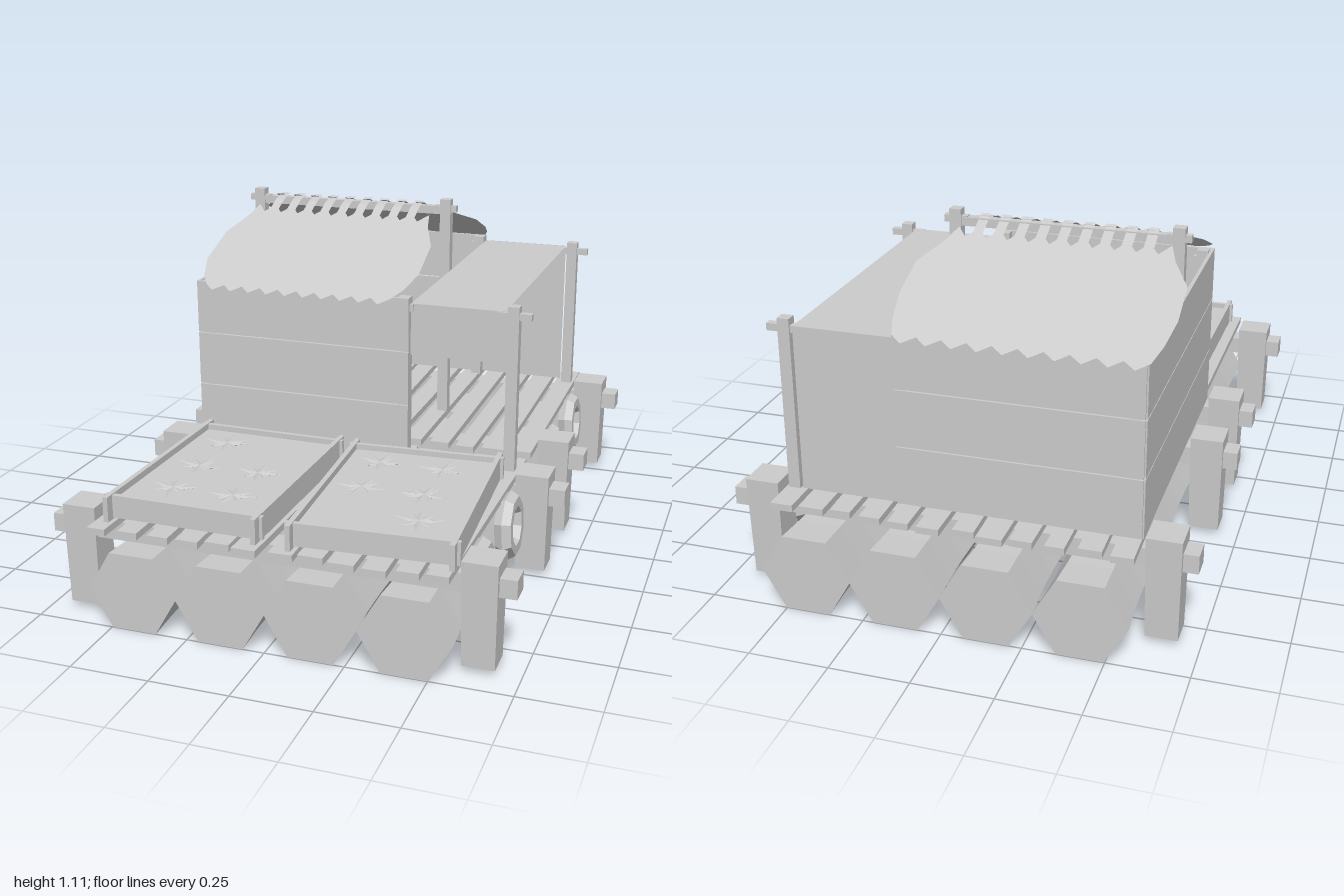
import * as THREE from 'three';
import { mergeGeometries } from 'three/addons/utils/BufferGeometryUtils.js';

const solid = new THREE.MeshStandardMaterial({ color: 0xcccccc, flatShading: true });
const thin = new THREE.MeshStandardMaterial({ color: 0xcccccc, flatShading: true, side: THREE.DoubleSide });

function add(parent, name, geometry, x = 0, y = 0, z = 0, material = solid) {
  const mesh = new THREE.Mesh(geometry, material);
  mesh.name = name;
  mesh.position.set(x, y, z);
  parent.add(mesh);
  return mesh;
}

// Box given by its limits on each axis
function block(parent, name, [x0, x1], [y0, y1], [z0, z1]) {
  return add(parent, name, new THREE.BoxGeometry(x1 - x0, y1 - y0, z1 - z0),
    (x0 + x1) / 2, (y0 + y1) / 2, (z0 + z1) / 2);
}

let seed = 7;
const jitter = (a) => {
  seed = (seed * 16807) % 2147483647;
  return (seed / 2147483647 * 2 - 1) * a;
};

// Hexagonal float with a slightly pinched waist
function floatGeometry() {
  const len = 0.46, g = new THREE.CylinderGeometry(0.143, 0.143, len, 6, 4);
  const p = g.attributes.position;
  for (let i = 0; i < p.count; i++) {
    const s = 0.94 + 0.06 * (2 * p.getY(i) / len) ** 2;
    p.setX(i, p.getX(i) * s);
    p.setZ(i, p.getZ(i) * s);
  }
  return g.rotateY(Math.PI / 6).rotateX(Math.PI / 2);
}

// Post that narrows towards its foot
function postGeometry() {
  const g = new THREE.BoxGeometry(0.108, 0.33, 0.112), p = g.attributes.position;
  for (let i = 0; i < p.count; i++) {
    if (p.getY(i) < 0) {
      p.setX(i, p.getX(i) * 0.92);
      p.setZ(i, p.getZ(i) * 0.85);
    }
  }
  return g;
}

function buildRaft(root) {
  const raft = new THREE.Group();
  raft.name = 'raft';
  root.add(raft);
  const floatGeo = floatGeometry(), postGeo = postGeometry();
  for (const x of [-0.425, -0.14, 0.145, 0.43])
    for (const z of [0.77, 0.237, -0.237, -0.77]) add(raft, 'float', floatGeo, x, 0.124, z);

  // Cross beams with an upright at each end
  for (const z of [0.87, 0.195, -0.14, -0.815]) {
    block(raft, 'crossBeam', [-0.735, 0.73], [0.247, 0.306], [z - 0.037, z + 0.037]);
    add(raft, 'sidePost', postGeo, -0.635, 0.185, z);
    add(raft, 'sidePost', postGeo, 0.625, 0.185, z);
  }

  // Loose deck planks in two lengths
  for (const zc of [0.53, -0.48])
    for (let i = 0; i < 12; i++) {
      const plank = add(raft, 'deckPlank', new THREE.BoxGeometry(0.07 + jitter(0.012), 0.022, 0.94),
        -0.525 + i * 0.0955, 0.317, zc + jitter(0.015));
      plank.rotation.y = jitter(0.02);
    }

  // Octagonal tyres hung along one side
  const tyreGeo = new THREE.TorusGeometry(0.08, 0.031, 6, 8).rotateZ(Math.PI / 8).rotateY(Math.PI / 2);
  for (const z of [0.72, 0.355, -0.297, -0.66]) {
    const tyre = add(raft, 'tyre', tyreGeo, 0.578, 0.218, z);
    tyre.rotation.z = 0.06;
  }
}

function buildCabin(root) {
  const cabin = new THREE.Group();
  cabin.name = 'cabin';
  root.add(cabin);

  // Three wide boards to each wall
  const boards = [[0.33, 0.518], [0.522, 0.703], [0.707, 0.885]];
  for (const b of boards) {
    block(cabin, 'frontWallBoard', [-0.565, 0.185], b, [0.172, 0.184]);
    block(cabin, 'backWallBoard', [-0.565, 0.185], b, [-0.846, -0.834]);
    block(cabin, 'sideWallBoard', [-0.57, -0.558], b, [-0.84, 0.18]);
  }

  // Poles with short pegs near the top
  const pole = (x, z, top, peg) => {
    block(cabin, 'pole', [x - 0.019, x + 0.019], [0.325, top], [z - 0.018, z + 0.018]);
    block(cabin, 'peg', [x - peg, x + peg], [top - 0.045, top - 0.022], [z - 0.012, z + 0.012]);
  };
  for (const z of [0.158, -0.822]) {
    pole(-0.535, z, 0.885, 0.03);
    pole(0.165, z, 0.885, 0.03);
    pole(0.53, z, 0.885, 0.058);
  }
  for (const x of [-0.548, 0.16]) pole(x, -0.345, 1.115, 0.038);
  block(cabin, 'ridgePole', [-0.55, 0.16], [1.062, 1.09], [-0.359, -0.331]);

  // Lean-to cloth: roof, short front flap and full back panel
  const cloth = new THREE.PlaneGeometry(1, 1);
  const roof = add(cabin, 'leanToRoof', cloth, 0.343, 0.864, -0.34, thin);
  roof.rotation.x = -Math.PI / 2;
  roof.scale.set(0.315, 1, 1);
  add(cabin, 'leanToFlap', cloth, 0.343, 0.777, 0.16, thin).scale.set(0.315, 0.174, 1);
  add(cabin, 'leanToBackPanel', cloth, 0.343, 0.598, -0.84, thin).scale.set(0.315, 0.534, 1);
}

// Sloped sheet with ragged edges; widths are [fraction down slope, half width]
function tarpGeometry(zTop, run, widths) {
  const drop = 0.195, teeth = 10, cx = -0.2;
  const side = Math.sign(run), pts = [];
  const ragged = (f, half, depth, flip) => {
    for (let i = 0; i <= teeth * 2; i++) {
      const x = (i / teeth - 1) * half * flip;
      pts.push(new THREE.Vector2(cx + x, f + (i % 2 ? depth : 0)));
    }
  };
  ragged(0, widths[0][1], 0.085, 1);
  for (const [f, w] of widths.slice(1, -1)) pts.push(new THREE.Vector2(cx + w, f));
  ragged(0.96, widths.at(-1)[1], 0.06, -1);
  for (const [f, w] of widths.slice(1, -1).reverse()) pts.push(new THREE.Vector2(cx - w, f));
  const g = new THREE.ShapeGeometry(new THREE.Shape(pts));
  const slope = (geo) => {
    const p = geo.attributes.position;
    for (let i = 0; i < p.count; i++) {
      const f = p.getY(i);
      p.setXYZ(i, p.getX(i), 1.07 - drop * f, zTop + run * f);
    }
    geo.computeVertexNormals();
    return geo;
  };

  // Narrow straps reaching over the ridge pole
  const parts = [slope(g)];
  const ridgeZ = -0.345 - side * 0.016;
  for (let i = 1; i < teeth; i++) {
    const strap = new THREE.PlaneGeometry(0.032, 1, 1, 2), p = strap.attributes.position;
    const rows = [[ridgeZ, 1.1], [zTop - side * 0.035, 1.086], [zTop + run * 0.05, 1.06]];
    for (let k = 0; k < p.count; k++) {
      const [z, y] = rows[Math.floor(k / 2)];
      p.setXYZ(k, p.getX(k) + cx + (i * 2 / teeth - 1) * widths[0][1], y, z);
    }
    strap.computeVertexNormals();
    parts.push(strap);
  }
  return mergeGeometries(parts);
}

function buildTarps(root) {
  add(root, 'frontTarp', tarpGeometry(-0.265, 0.485,
    [[0, 0.32], [0.14, 0.335], [0.36, 0.378], [0.68, 0.382], [0.86, 0.355], [1, 0.325]]), 0, 0, 0, thin);
  add(root, 'backTarp', tarpGeometry(-0.395, -0.485,
    [[0, 0.335], [0.14, 0.36], [0.34, 0.415], [0.62, 0.417], [0.82, 0.4], [1, 0.378]]), 0, 0, 0, thin);
}

// Low spread of pointed leaves
function plantGeometry() {
  const leaves = [];
  for (let i = 0; i < 8; i++) {
    const len = i % 2 ? 0.062 : 0.085;
    leaves.push(new THREE.ConeGeometry(0.017, len, 4).scale(1, 1, 0.4)
      .translate(0, len / 2, 0).rotateX(Math.PI / 2 - 0.1).rotateY(i * Math.PI / 4 + jitter(0.25)));
  }
  return mergeGeometries(leaves);
}

function buildTray(root, x, turn, plants) {
  const tray = new THREE.Group();
  tray.name = 'plantingTray';
  tray.position.set(x, 0, 0.61);
  tray.rotation.y = turn;
  root.add(tray);
  block(tray, 'soil', [-0.235, 0.235], [0.335, 0.392], [-0.32, 0.32]);
  for (const s of [-1, 1]) {
    block(tray, 'sideBoard', [s * 0.24 - 0.008, s * 0.24 + 0.008], [0.333, 0.413], [-0.365, 0.365]);
    block(tray, 'endBoard', [-0.258, 0.258], [0.338, 0.41], [s * 0.328 - 0.008, s * 0.328 + 0.008]);
  }
  for (const [px, pz] of plants) add(root, 'plant', plantGeometry(), px, 0.393, pz);
}

export function createModel() {
  const root = new THREE.Group();
  root.name = 'raftHouse';
  buildRaft(root);
  buildCabin(root);
  buildTarps(root);
  buildTray(root, -0.27, -0.015, [[-0.375, 0.4], [-0.375, 0.61], [-0.175, 0.61], [-0.375, 0.8], [-0.175, 0.8]]);
  buildTray(root, 0.295, 0.055, [[0.16, 0.4], [0.37, 0.4], [0.17, 0.61], [0.37, 0.61], [0.41, 0.8]]);
  return root;
}
